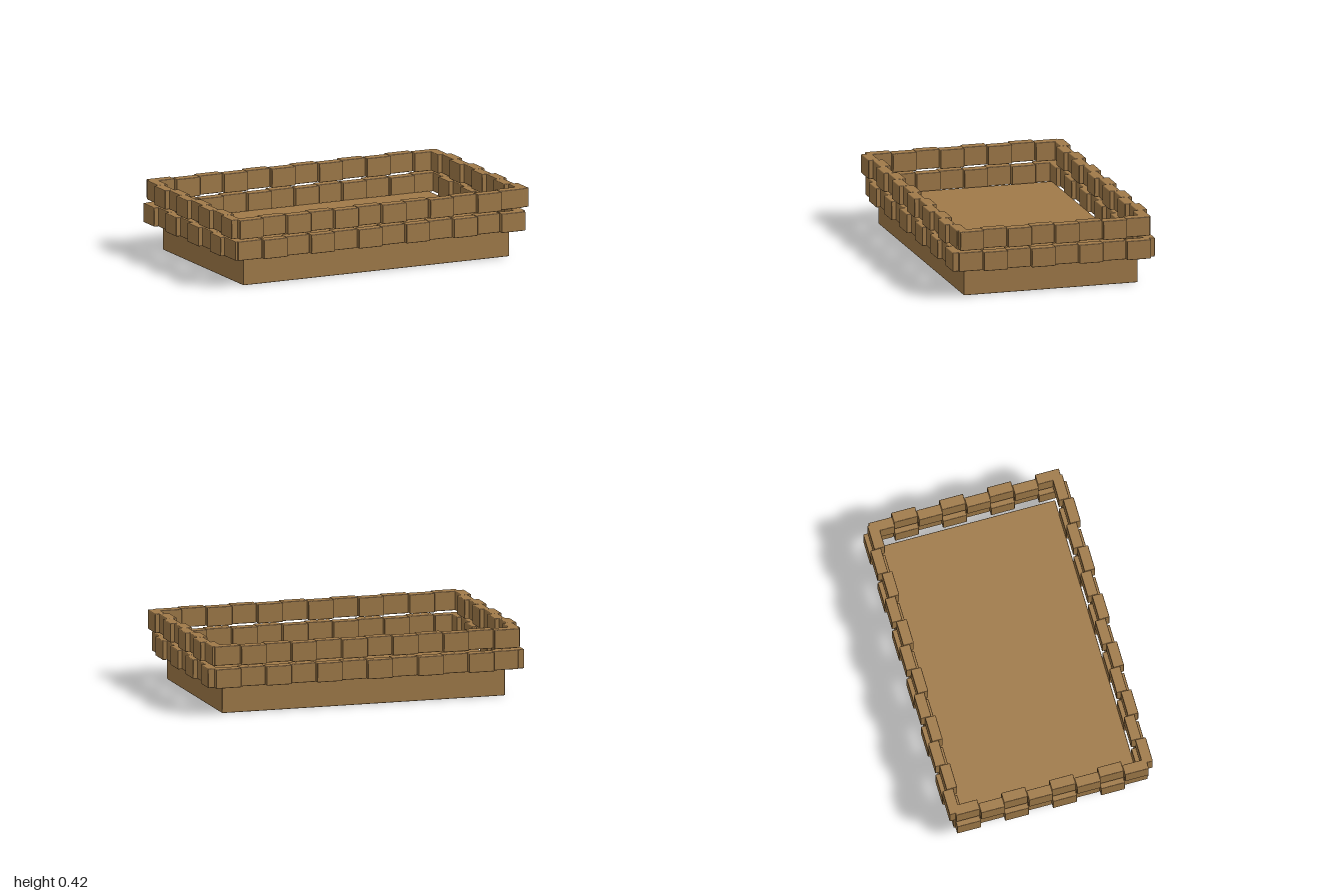
import * as THREE from 'three';
import { RoundedBoxGeometry } from 'three/addons/geometries/RoundedBoxGeometry.js';

export function createModel() {
  const model = new THREE.Group();
  model.name = 'brickPlanter';
  const clay = new THREE.MeshStandardMaterial({ color: 0xa07a49 });
  clay.name = 'clay brown';

  const addBlock = (parent, name, geometry, x, y, z) => {
    const mesh = new THREE.Mesh(geometry, clay);
    mesh.name = name;
    mesh.position.set(x, y, z);
    parent.add(mesh);
  };

  // Solid slab that carries the rim
  addBlock(model, 'base', new RoundedBoxGeometry(1.79, 0.182, 1.094, 1, 0.005), 0, 0.091, 0);

  // Two courses of bricks, alternately set out and in like a checkerboard
  const depth = 0.066, height = 0.118, bevel = 0.005;
  const longBrick = new RoundedBoxGeometry(0.16, height, depth, 1, bevel);
  const shortBrick = new RoundedBoxGeometry(depth, height, 0.15, 1, bevel);
  const shift = 0.026;

  for (let row = 0; row < 2; row++) {
    const course = new THREE.Group();
    course.name = row ? 'upperCourse' : 'lowerCourse';
    course.position.y = 0.229 + row * 0.136;
    model.add(course);

    for (const side of [-1, 1]) {
      // Front and back walls
      for (let i = 0; i < 12; i++) {
        const out = (i + row) % 2 === 1 ? shift : 0;
        addBlock(course, side > 0 ? 'frontBrick' : 'backBrick', longBrick,
          -0.88 + i * 0.16, 0, side * (0.577 + out));
      }
      // End walls
      for (let i = 0; i < 8; i++) {
        const out = (i + row) % 2 === 0 ? shift : 0;
        addBlock(course, side > 0 ? 'leftBrick' : 'rightBrick', shortBrick,
          side * (0.941 + out), 0, -0.525 + i * 0.15);
      }
    }
  }
  return model;
}
